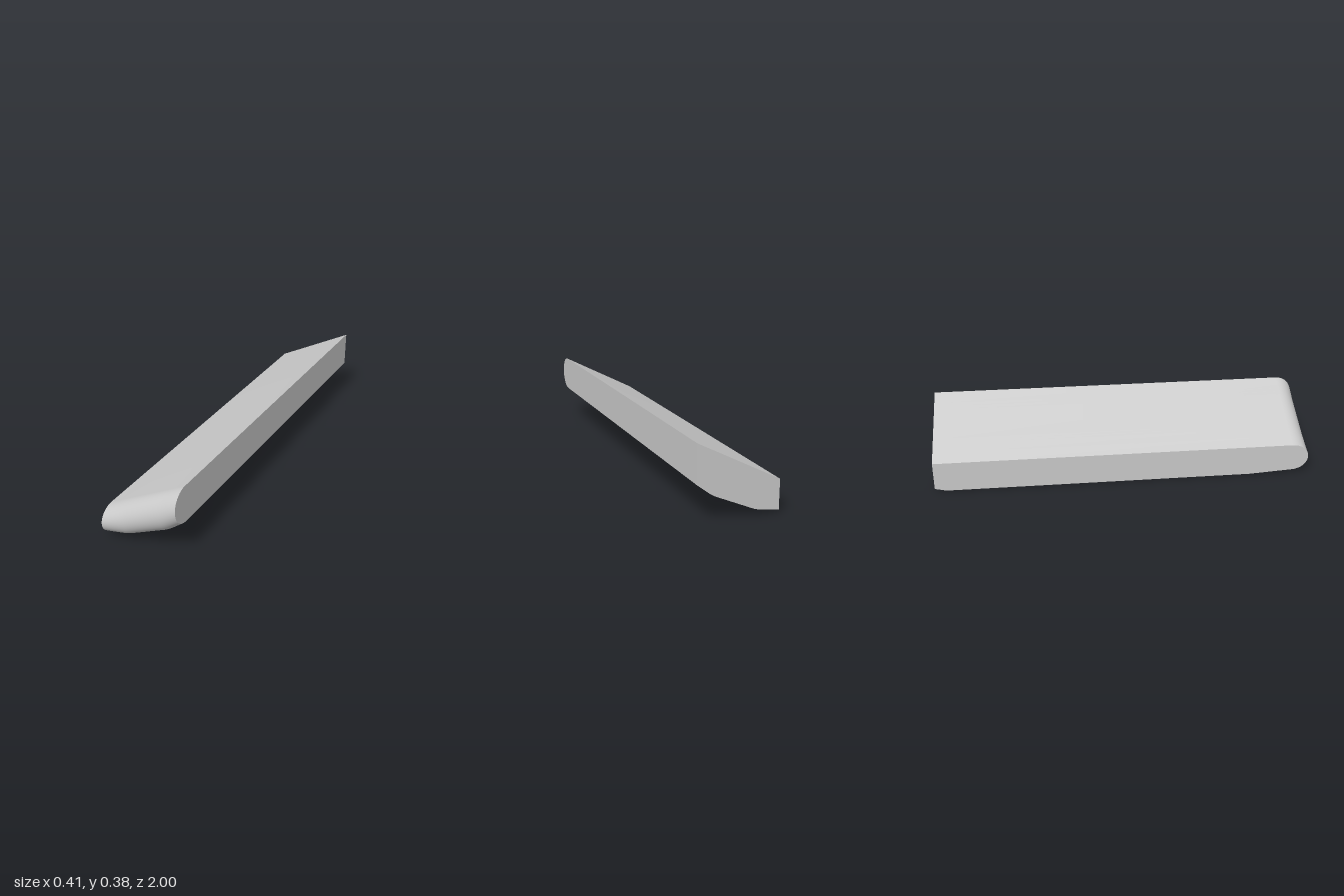
import * as THREE from 'three';
import { toCreasedNormals } from 'three/addons/utils/BufferGeometryUtils.js';

// Stations across the width: x, underside height, extra sag of the middle underside
const STATIONS = [
  [-0.207, 0.015, 0.014], [-0.15, 0.023, 0.007], [-0.1, 0.032, 0], [-0.085, 0.036, 0],
  [-0.07, 0.042, 0], [0.1, 0.118, 0], [0.12, 0.127, 0], [0.14, 0.139, 0], [0.207, 0.191, 0],
];
const NOSE_STEPS = 20;
const NOSE_DEPTH = 0.09;

// Lengthwise outline at one station: flat top, rounded nose, underside, square back
function section([x, bottom, sag]) {
  const top = 0.272 + x * 0.523;
  const mid = (top + bottom) / 2;
  const half = (top - bottom) / 2;
  const loop = [new THREE.Vector3(x, top, -1)];
  for (let i = 0; i <= NOSE_STEPS; i++) {
    const a = Math.PI / 2 - (i / NOSE_STEPS) * Math.PI;
    loop.push(new THREE.Vector3(x, mid + half * Math.sin(a), 1 - NOSE_DEPTH + NOSE_DEPTH * Math.cos(a)));
  }
  loop.push(new THREE.Vector3(x, bottom - sag, 0.68));
  loop.push(new THREE.Vector3(x, bottom - sag, -0.94));
  loop.push(new THREE.Vector3(x, bottom, -1));
  return loop;
}

function loftGeometry(loops) {
  const n = loops[0].length;
  const last = (loops.length - 1) * n;
  const index = [];
  // Skin between neighbouring sections
  for (let s = 0; s < loops.length - 1; s++) {
    for (let i = 0; i < n; i++) {
      const a = s * n + i, b = s * n + (i + 1) % n;
      index.push(a, b, b + n, a, b + n, a + n);
    }
  }
  // Flat side caps
  for (let i = 1; i < n - 1; i++) {
    index.push(0, i + 1, i, last, last + i, last + i + 1);
  }
  const geometry = new THREE.BufferGeometry().setFromPoints(loops.flat());
  geometry.setIndex(index);
  return toCreasedNormals(geometry, THREE.MathUtils.degToRad(35));
}

export function createModel() {
  const group = new THREE.Group();
  group.name = 'slantedBar';
  const material = new THREE.MeshStandardMaterial({ color: 0xcccccc });
  const body = new THREE.Mesh(loftGeometry(STATIONS.map(section)), material);
  body.name = 'roundNosedBody';
  group.add(body);
  return group;
}
